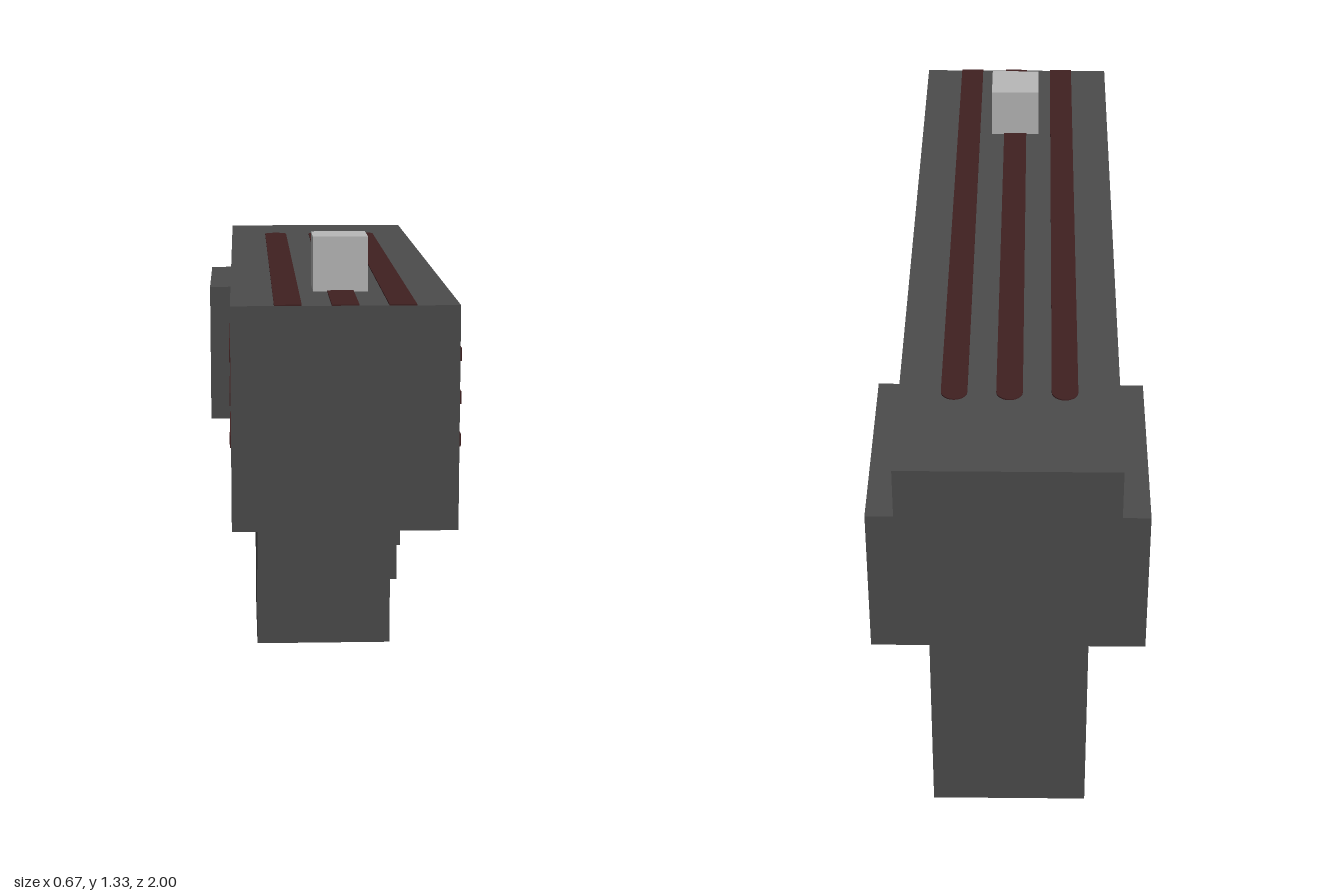
import * as THREE from 'three';

const body = new THREE.MeshStandardMaterial({ color: 0x4c4c4c });
body.name = 'dark grey';
const stripeRed = new THREE.MeshStandardMaterial({ color: 0x402021 });
stripeRed.name = 'dark red';
const sightGrey = new THREE.MeshStandardMaterial({ color: 0xb9b9b9 });
sightGrey.name = 'light grey';

const U = 1 / 15; // block unit

// Box from its limits, in block units
function box(name, material, [x0, x1], [y0, y1], [z0, z1]) {
  const geometry = new THREE.BoxGeometry((x1 - x0) * U, (y1 - y0) * U, (z1 - z0) * U);
  const mesh = new THREE.Mesh(geometry, material);
  mesh.name = name;
  mesh.position.set((x0 + x1) * U / 2, (y0 + y1) * U / 2, (z0 + z1) * U / 2);
  return mesh;
}

// Thin strip lying flat, from the muzzle back to a rounded end
function stripe(name, length, width) {
  const r = width / 2;
  const shape = new THREE.Shape();
  shape.moveTo(-r, 0);
  shape.lineTo(r, 0);
  shape.lineTo(r, length - r);
  shape.absarc(0, length - r, r, 0, Math.PI, false);
  shape.closePath();
  const geometry = new THREE.ExtrudeGeometry(shape, { depth: 0.003, bevelEnabled: false, curveSegments: 6 });
  geometry.rotateX(-Math.PI / 2);
  const mesh = new THREE.Mesh(geometry, stripeRed);
  mesh.name = name;
  return mesh;
}

export function createModel() {
  const model = new THREE.Group();
  model.name = 'blaster';

  model.add(
    box('barrel', body, [-4, 4], [10, 18], [-15, 15]),
    box('grip', body, [-3, 3], [0, 10], [-13, -5]),
    box('frontSight', sightGrey, [-1, 1], [18, 20], [9, 11]),
  );

  // Stepped trigger guard with the trigger block
  const profile = [[-5, 4], [-1, 4], [-1, 6], [1, 6], [1, 10], [-1, 10], [-1, 8], [-3, 8], [-3, 6], [-5, 6]];
  const guardShape = new THREE.Shape(profile.map(([z, y]) => new THREE.Vector2(-z * U, y * U)));
  const guardGeometry = new THREE.ExtrudeGeometry(guardShape, { depth: 6 * U, bevelEnabled: false });
  guardGeometry.translate(0, 0, -3 * U).rotateY(Math.PI / 2);
  const guard = new THREE.Mesh(guardGeometry, body);
  guard.name = 'triggerGuard';
  model.add(guard);

  // Stripes along the top
  for (const x of [-2, 0, 2]) {
    const strip = stripe('topStripe', 1.72, 0.064);
    strip.position.set(x * U, 18 * U, 1);
    model.add(strip);
  }

  // Rear side plates and side stripes
  for (const side of [-1, 1]) {
    const name = side > 0 ? 'left' : 'right';
    const xs = side > 0 ? [4, 5] : [-5, -4];
    model.add(box(name + 'RearPlate', body, xs, [10, 16], [-15, -7]));
    for (const y of [0.883, 0.983, 1.085]) {
      const strip = stripe(name + 'SideStripe', 1.48, 0.03);
      strip.rotation.z = -side * Math.PI / 2;
      strip.position.set(side * 4 * U, y, 1);
      model.add(strip);
    }
  }
  return model;
}
